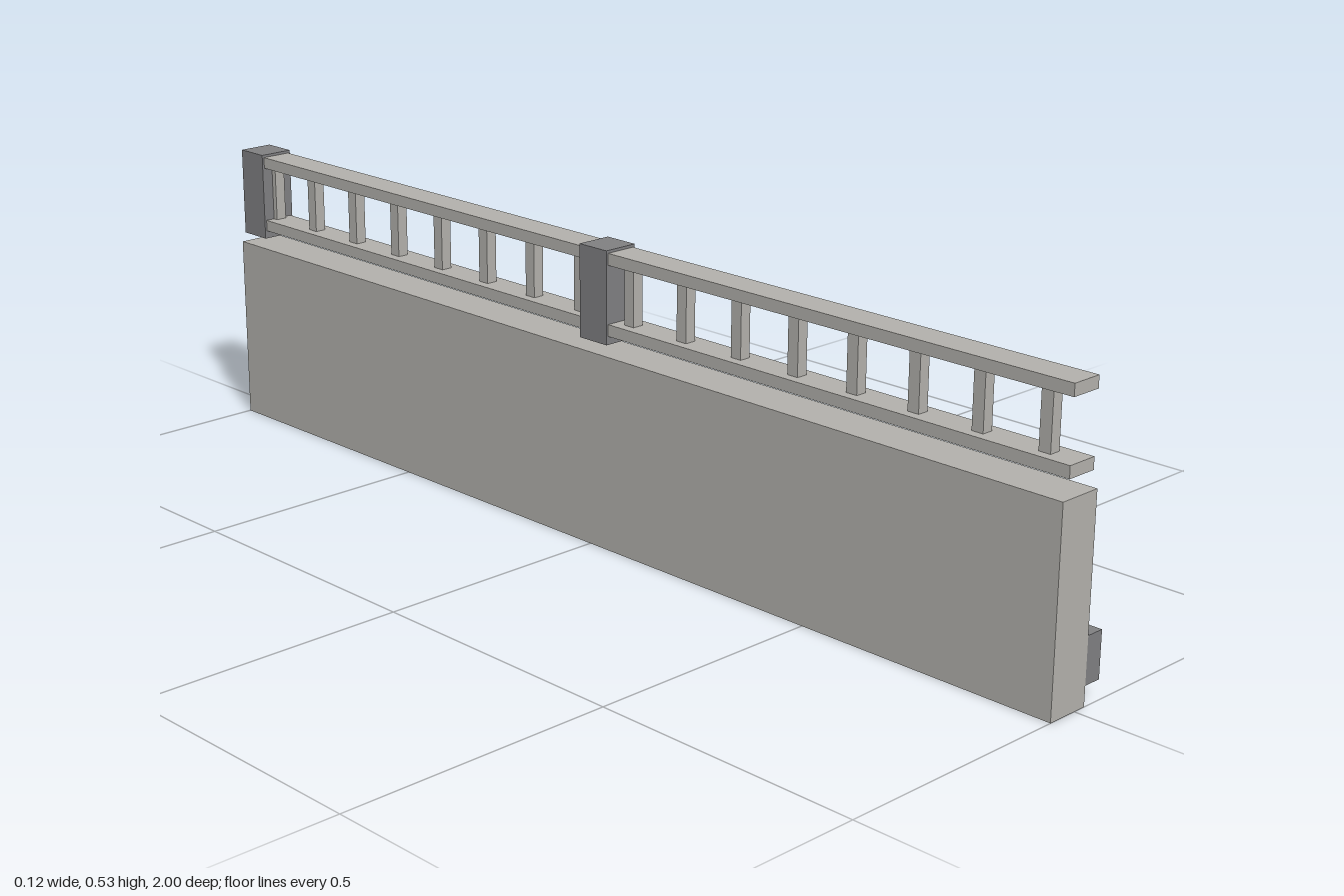
import * as THREE from 'three';

export function createModel() {
  const group = new THREE.Group();
  const paleStone = new THREE.MeshStandardMaterial({ name: 'paleStone', color: 0xb3b1ac });
  const darkStone = new THREE.MeshStandardMaterial({ name: 'darkStone', color: 0x808082 });

  // Box given by its minimum and maximum on each axis
  function block(name, material, [x0, x1], [y0, y1], [z0, z1]) {
    const mesh = new THREE.Mesh(new THREE.BoxGeometry(x1 - x0, y1 - y0, z1 - z0), material);
    mesh.position.set((x0 + x1) / 2, (y0 + y1) / 2, (z0 + z1) / 2);
    mesh.name = name;
    group.add(mesh);
  }

  // Wall slab with a projecting ledge along its left side
  block('wall', paleStone, [-0.058, 0.024], [0, 0.351], [-1, 1]);
  block('ledge', darkStone, [0.024, 0.058], [0.035, 0.117], [-1, 1]);

  // Rails, ending just inside the end post
  block('lowerRail', paleStone, [-0.046, 0.012], [0.383, 0.404], [-0.99, 1]);
  block('upperRail', paleStone, [-0.046, 0.012], [0.508, 0.529], [-0.99, 1]);

  // Posts at the middle and the back end
  block('middlePost', darkStone, [-0.05, 0.016], [0.368, 0.534], [-0.033, 0.033]);
  block('endPost', darkStone, [-0.05, 0.016], [0.368, 0.534], [-1, -0.934]);

  // Evenly spaced balusters between the rails
  for (let i = 0; i < 16; i++) {
    const z = 0.94 - i * 0.125;
    block('baluster', paleStone, [-0.028, -0.007], [0.404, 0.508], [z - 0.011, z + 0.011]);
  }
  return group;
}
